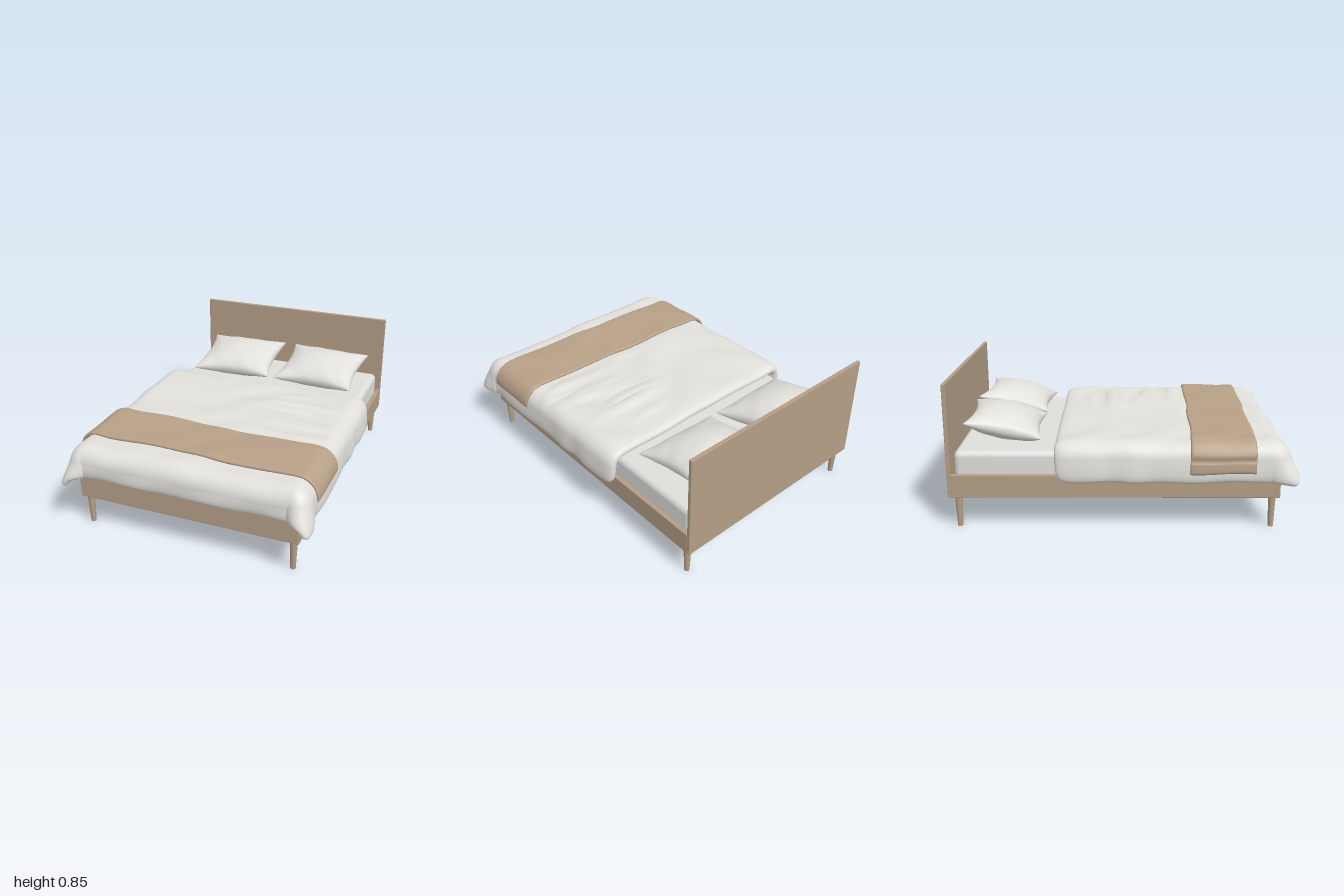
import * as THREE from 'three';
import { mergeVertices } from 'three/addons/utils/BufferGeometryUtils.js';
import { RoundedBoxGeometry } from 'three/addons/geometries/RoundedBoxGeometry.js';

const mat = (name, color) => {
  const m = new THREE.MeshStandardMaterial({ color });
  m.name = name;
  return m;
};

// Unit normal of a sheet (s, t) -> point, with s running to +x and t to +z
function normalAt(sheet, s, t, e = 0.002) {
  const ds = sheet(s + e, t).sub(sheet(s - e, t));
  const dt = sheet(s, t + e).sub(sheet(s, t - e));
  return dt.cross(ds).normalize();
}

// Closed soft shell: a sheet over [-1,1]^2, thickened on both sides and closed at its rim
function softShell(sheet, thickness, ns, nt) {
  const pos = [], index = [], row = ns + 1, layer = row * (nt + 1);
  for (const side of [1, -1]) {
    for (let j = 0; j <= nt; j++) {
      for (let i = 0; i <= ns; i++) {
        // blend even spacing with spacing that tightens towards the rim
        const a = (2 * i) / ns - 1, b = (2 * j) / nt - 1;
        const s = 0.4 * a + 0.6 * Math.sin((a * Math.PI) / 2);
        const t = 0.4 * b + 0.6 * Math.sin((b * Math.PI) / 2);
        const rim = i === 0 || j === 0 || i === ns || j === nt;
        const p = sheet(s, t);
        if (!rim) p.addScaledVector(normalAt(sheet, s, t), side * thickness(s, t));
        pos.push(p.x, p.y, p.z);
      }
    }
  }
  for (let j = 0; j < nt; j++) {
    for (let i = 0; i < ns; i++) {
      const a = j * row + i, b = a + 1, d = a + row, c = d + 1;
      index.push(a, d, c, a, c, b);
      index.push(a + layer, c + layer, d + layer, a + layer, b + layer, c + layer);
    }
  }
  let g = new THREE.BufferGeometry();
  g.setAttribute('position', new THREE.Float32BufferAttribute(pos, 3));
  g.setIndex(index);
  g = mergeVertices(g, 1e-5);
  g.computeVertexNormals();
  return g;
}

const rounded = (s, t, n) => Math.sqrt(Math.max(0, (1 - Math.abs(s) ** n) * (1 - Math.abs(t) ** n)));

// Seeded creases, mostly on the left half of the bedding
let seed = 7;
const rnd = () => (seed = (seed * 16807) % 2147483647) / 2147483647;
const creases = Array.from({ length: 18 }, () => ({
  x: rnd() * 0.7, z: -0.33 + rnd() * 0.75, len: 0.1 + rnd() * 0.15,
  amp: 0.004 + rnd() * 0.005, tilt: rnd() * 0.4 - 0.2,
}));
function wrinkle(x, z) {
  let h = 0.005 * Math.sin(7 * x + 3 * z) * Math.sin(8 * z - 2 * x + 1) + 0.003 * Math.sin(17 * z + 4 * Math.sin(5 * x));
  for (const c of creases) {
    const dx = x - c.x, dz = z - c.z - c.tilt * dx;
    h += c.amp * Math.exp(-((dz / 0.028) ** 2) - (dx / c.len) ** 2);
  }
  return h;
}

// Cloth laid over the mattress: u across, v along; it rolls over the edges and bulges at the corners
const EDGE_X = 0.625, EDGE_Z = 0.835, ROLL = 0.065;
function drape(u, v) {
  const ou = Math.max(0, Math.abs(u) - EDGE_X), ov = Math.max(0, v - EDGE_Z);
  const d = Math.cbrt(ou ** 3 + ov ** 3), len = Math.hypot(ou, ov) || 1;
  const cx = ou / len, cz = ov / len, arc = (ROLL * Math.PI) / 2;
  let out, drop;
  if (d < arc) {
    out = ROLL * Math.sin(d / ROLL);
    drop = ROLL * (1 - Math.cos(d / ROLL));
  } else {
    out = ROLL + 0.14 * (d - arc);
    drop = ROLL + d - arc;
  }
  const corner = 2 * cx * cz * (d / 0.25) ** 2;
  out += (d / 0.25) * 0.006 * (1 - 2 * cx * cz) * Math.sin(16 * v + 14 * u * cz + 2 * Math.sin(7 * v));
  return new THREE.Vector3(
    Math.sign(u) * (Math.min(Math.abs(u), EDGE_X) + (out + 0.06 * corner) * cx),
    0.485 - drop + wrinkle(u, v),
    Math.min(v, EDGE_Z) + (out + 0.14 * corner) * cz
  );
}

const lerp = THREE.MathUtils.lerp;

// Duvet, with its corners rounded off
function duvetSheet(s, t) {
  const trim = 1 - 0.035 * Math.abs(s * t) ** 24;
  return drape(0.857 * s * trim, lerp(-0.395 - 0.008 * s, 1.027, (t * trim + 1) / 2));
}

// The throw follows the duvet at a small distance, slightly askew
function throwSheet(s, t) {
  const k = (s + 1) / 2;
  const u = lerp(-0.8, 0.745, k);
  const v = lerp(0.37, 0.42, k) + 0.365 * (t + 1) / 2 + 0.004 * Math.sin(9 * u);
  return drape(u, v).addScaledVector(normalAt(drape, u, v), 0.046);
}

// Pillow outline with drawn-out corners and hollow sides
const pillowSheet = (s, t) => new THREE.Vector3(
  0.275 * s * (1 - 0.11 * (1 - t * t)),
  0.008 * s * s * t * t,
  0.227 * t * (1 - 0.13 * (1 - s * s))
);
function pillowThickness(s, t) {
  const body = Math.max(0, (1 - s * s) * (1 - t * t)) ** 0.5;
  const pleats = Math.sin(8 * s + 3 * t) * Math.sin(7 * t - 3 * s) * (s * s + t * t);
  return 0.092 * body * (1 + 0.06 * pleats);
}

export function createModel() {
  const model = new THREE.Group();
  model.name = 'bed';
  const wood = mat('wood', 0xb39e86);
  const linen = mat('linen', 0xe2e0db);
  const mattressWhite = mat('mattressWhite', 0xdededb);
  const throwTan = mat('throwTan', 0xb7a087);
  const baseWhite = mat('baseWhite', 0xd0cfcd);
  const black = mat('black', 0x2e2e2e);

  const add = (name, geometry, material, x = 0, y = 0, z = 0) => {
    const m = new THREE.Mesh(geometry, material);
    m.name = name;
    m.position.set(x, y, z);
    model.add(m);
    return m;
  };

  // Frame
  add('headboard', new RoundedBoxGeometry(1.34, 0.66, 0.022, 2, 0.004), wood, 0, 0.515, -0.989);
  add('frontRail', new RoundedBoxGeometry(1.34, 0.135, 0.026, 2, 0.004), wood, 0, 0.2525, 0.877);
  for (const side of [-1, 1]) {
    add('sideRail', new RoundedBoxGeometry(0.028, 0.135, 1.846, 2, 0.004), wood, side * 0.656, 0.2525, -0.057);
    for (const z of [0.85, -0.945]) {
      add('leg', new THREE.CylinderGeometry(0.023, 0.015, 0.21, 24), wood, side * 0.63, 0.105, z);
    }
  }
  add('basePanel', new THREE.BoxGeometry(1.29, 0.02, 1.85), baseWhite, 0, 0.217, -0.055);
  add('centreLeg', new THREE.CylinderGeometry(0.017, 0.017, 0.21, 20), black, 0, 0.105, -0.05);

  // Bedding
  add('mattress', new RoundedBoxGeometry(1.28, 0.225, 1.825, 4, 0.035), mattressWhite, 0, 0.3375, -0.05);
  add('duvet', softShell(duvetSheet, (s, t) => 0.035 * rounded(s, t, 20), 100, 130), linen);
  add('throwBlanket', softShell(throwSheet, (s, t) => 0.01 * rounded(s, t, 30), 90, 40), throwTan);
  const pillowGeometry = softShell(pillowSheet, pillowThickness, 44, 44);
  for (const side of [-1, 1]) {
    const pillow = add('pillow', pillowGeometry, linen, side * 0.302, 0.543, -0.7);
    pillow.rotation.set(0.215, side * -0.035, 0);
  }
  return model;
}
